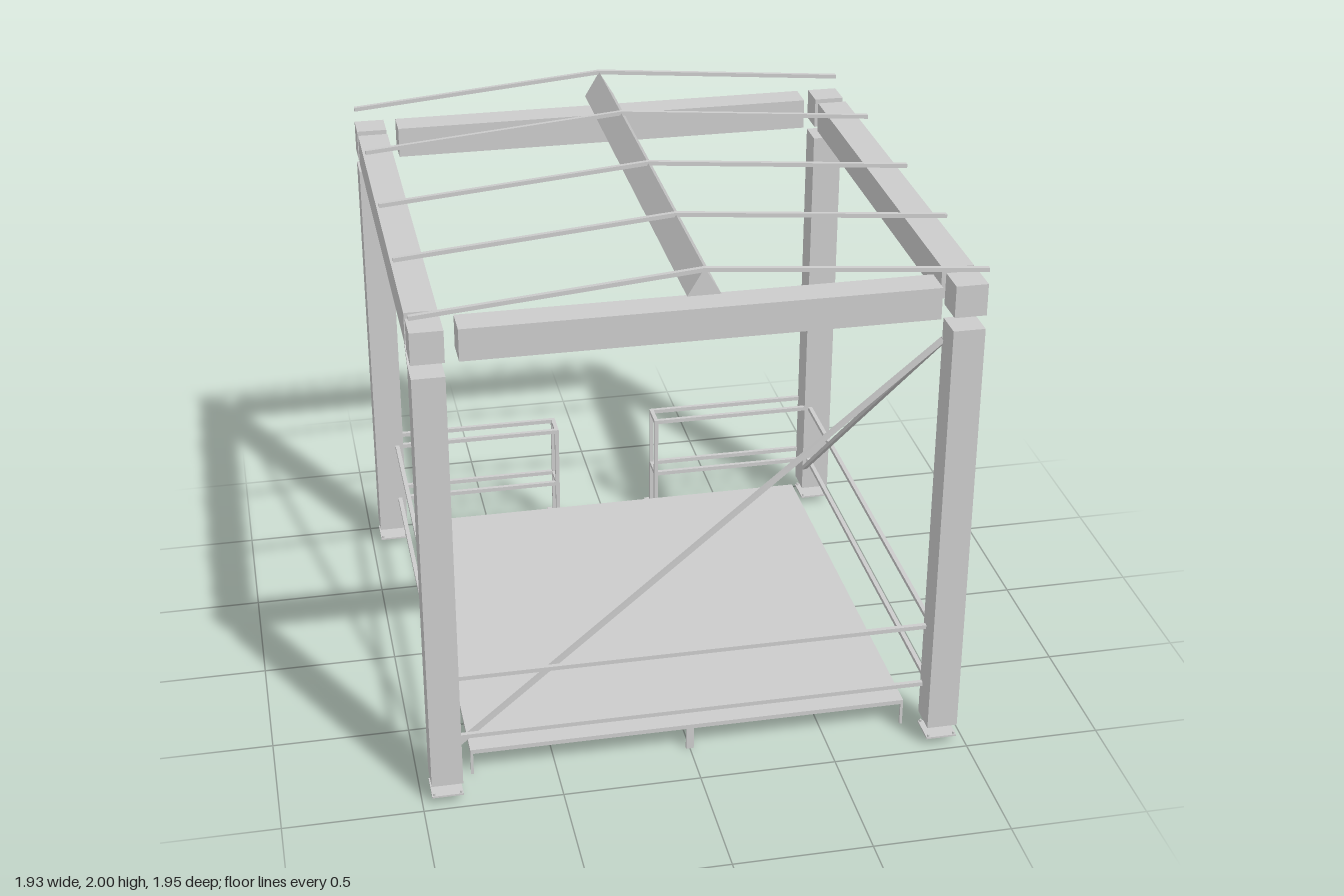
import * as THREE from 'three';

const material = new THREE.MeshStandardMaterial({ color: 0xcccccc, flatShading: true });
const FRONT = 0.916, BACK = -0.9, SIDE = 0.91;   // post centre lines
const INNER_F = 0.86, INNER_B = -0.845, INNER_X = 0.855; // inner post faces

export function createModel() {
  const model = new THREE.Group();

  const add = (name, geometry) => {
    const mesh = new THREE.Mesh(geometry, material);
    mesh.name = name;
    model.add(mesh);
    return mesh;
  };
  // Box given by its low and high corners
  const box = (name, x0, x1, y0, y1, z0, z1) => {
    const mesh = add(name, new THREE.BoxGeometry(x1 - x0, y1 - y0, z1 - z0));
    mesh.position.set((x0 + x1) / 2, (y0 + y1) / 2, (z0 + z1) / 2);
    return mesh;
  };
  // Square bar between two points
  const bar = (name, a, b, t = 0.016) => {
    const from = new THREE.Vector3(...a), to = new THREE.Vector3(...b);
    const mesh = add(name, new THREE.BoxGeometry(t, t, from.distanceTo(to)));
    mesh.position.copy(from).add(to).multiplyScalar(0.5);
    mesh.lookAt(to);
    return mesh;
  };

  // Corner posts with head blocks, base plates and bolts
  for (const sx of [-1, 1]) for (const z of [FRONT, BACK]) {
    const x = sx * SIDE, h = 0.056;
    box('cornerPost', x - h, x + h, 0.08, 1.69, z - h, z + h);
    box('cornerBlock', x - h, x + h, 1.74, 1.855, z - h, z + h);
    box('basePlate', x - h, x + h, 0.03, 0.037, z - h, z + h);
    for (const bx of [-1, 1]) for (const bz of [-1, 1]) {
      const bolt = add('baseBolt', new THREE.CylinderGeometry(0.005, 0.005, 0.016, 6));
      bolt.position.set(x + bx * 0.048, 0.038, z + bz * 0.048);
    }
  }

  // Top beams
  for (const z of [FRONT, BACK]) box('crossBeam', -0.808, 0.808, 1.74, 1.855, z - 0.056, z + 0.056);
  for (const s of [-1, 1]) box('sideBeam', s * SIDE - 0.056, s * SIDE + 0.056, 1.74, 1.855, -0.8, 0.816);

  // Ridge: triangular prism
  const triangle = new THREE.Shape([[-0.057, 1.897], [0.057, 1.897], [0, 1.993]].map(p => new THREE.Vector2(...p)));
  const ridge = add('ridge', new THREE.ExtrudeGeometry(triangle, { depth: 1.91, bevelEnabled: false }));
  ridge.position.z = -0.95;

  // Roof rafters, bent at the ridge
  const rafter = new THREE.Shape([
    [-0.965, 1.9], [0, 1.985], [0.965, 1.9], [0.965, 1.915], [0, 2], [-0.965, 1.915],
  ].map(p => new THREE.Vector2(...p)));
  for (const z of [-0.952, -0.489, 0.027, 0.504, 0.966]) {
    add('rafter', new THREE.ExtrudeGeometry(rafter, { depth: 0.016, bevelEnabled: false })).position.z = z - 0.008;
  }

  // Floor plate on flat legs around its edge
  const fx = 0.808, z0 = -0.84, z1 = 0.816;
  box('floor', -fx, fx, 0.088, 0.105, z0, z1);
  const leg = (x, z, w, d) => box('floorLeg', x - w / 2, x + w / 2, 0, 0.09, z - d / 2, z + d / 2);
  for (const x of [-fx + 0.005, fx - 0.005]) {
    for (const z of [-0.433, -0.027, 0.41]) leg(x, z, 0.01, 0.028);
    for (const z of [z0 + 0.005, z1 - 0.005]) leg(x, z, 0.01, 0.01);
  }
  for (const z of [z0 + 0.005, z1 - 0.005]) leg(0, z, 0.028, 0.01);

  // Guard rails on the front and both sides
  for (const y of [0.465, 0.218]) {
    bar('frontRail', [-INNER_X, y, 0.88], [INNER_X, y, 0.88]);
    for (const s of [-1, 1]) {
      bar('sideRail', [s * 0.878, y, INNER_B], [s * 0.878, y, INNER_F]);
      // Double back rails, leaving an entrance in the middle
      for (const z of [-0.855, -0.952]) bar('backRail', [s * 0.204, y, z], [s * INNER_X, y, z]);
      bar('backRailLink', [s * 0.212, y, -0.952], [s * 0.212, y, -0.855]);
    }
  }

  // Entrance posts with feet
  for (const s of [-1, 1]) for (const z of [-0.855, -0.952]) {
    const x = s * 0.212;
    box('entrancePost', x - 0.008, x + 0.008, 0.03, 0.473, z - 0.008, z + 0.008);
    box('entranceFoot', x - 0.028, x + 0.028, 0.024, 0.031, z - 0.028, z + 0.028);
  }

  // Diagonal braces on the sides and the front
  bar('sideBrace', [0.862, 1.61, INNER_F], [0.862, 0.18, INNER_B]);
  bar('sideBrace', [-0.862, 0.175, INNER_F], [-0.862, 1.605, INNER_B]);
  bar('frontBrace', [-INNER_X, 0.175, 0.864], [INNER_X, 1.61, 0.864]);

  return model;
}
